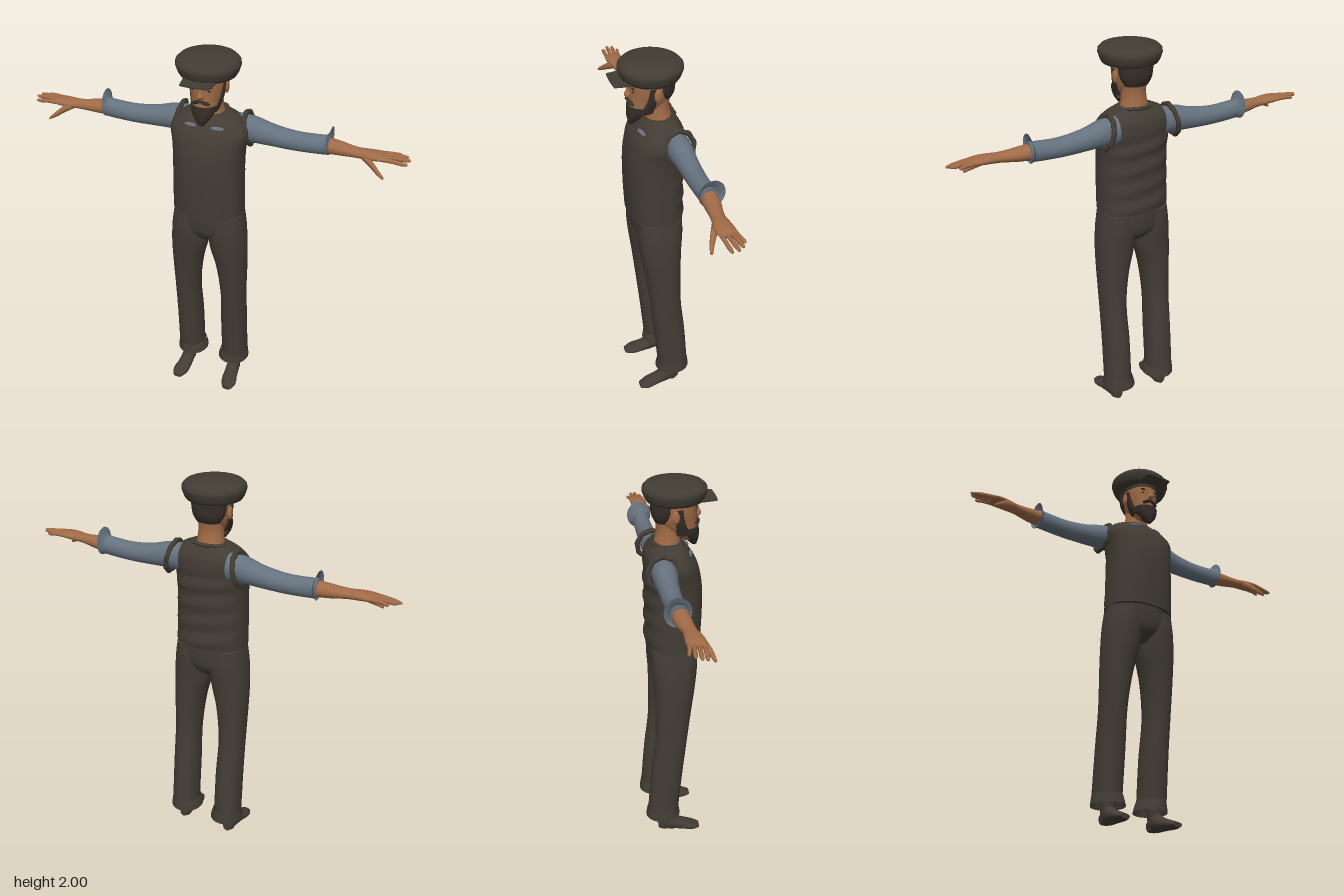
import * as THREE from 'three';

const mat = (name, color) => Object.assign(new THREE.MeshStandardMaterial({ color }), { name });

// Smooth loft along an axis through elliptical sections [t, uCentre, vCentre, uRadius, vRadius].
// (u, v) is (z, x) for a y loft, (y, z) for an x loft and (x, y) for a z loft.
function loft(axis, sections, { sides = 24, steps = 4, power = 1, caps = true } = {}) {
  const spline = new THREE.CubicInterpolant(
    sections.map(s => s[0]), sections.flatMap(s => s.slice(1)), 4);
  const place = { x: (t, u, v) => [t, u, v], y: (t, u, v) => [v, t, u], z: (t, u, v) => [u, v, t] }[axis];
  const bend = a => Math.sign(a) * Math.abs(a) ** power;
  const pos = [], index = [];
  const ring = (t) => {
    const [cu, cv, ru, rv] = spline.evaluate(t);
    for (let j = 0; j < sides; j++) {
      const a = j / sides * Math.PI * 2;
      pos.push(...place(t, cu + ru * bend(Math.cos(a)), cv + rv * bend(Math.sin(a))));
    }
    return [cu, cv];
  };
  const rows = (sections.length - 1) * steps;
  for (let i = 0; i <= rows; i++) {
    const k = Math.min(Math.floor(i / steps), sections.length - 2);
    ring(THREE.MathUtils.lerp(sections[k][0], sections[k + 1][0], i / steps - k));
  }
  for (let i = 0; i < rows; i++) for (let j = 0; j < sides; j++) {
    const a = i * sides + j, b = i * sides + (j + 1) % sides;
    index.push(a, b, b + sides, a, b + sides, a + sides);
  }
  if (caps) [0, sections.length - 1].forEach(end => {
    const t = sections[end][0], base = pos.length / 3;
    const [cu, cv] = ring(t);
    pos.push(...place(t, cu, cv));
    for (let j = 0; j < sides; j++) {
      const a = base + j, b = base + (j + 1) % sides;
      index.push(...(end ? [a, b, base + sides] : [b, a, base + sides]));
    }
  });
  const g = new THREE.BufferGeometry();
  g.setAttribute('position', new THREE.Float32BufferAttribute(pos, 3));
  g.setIndex(index);
  g.computeVertexNormals();
  return g;
}

// Mirror a geometry across x = 0, keeping its faces outward
function mirrored(g) {
  const m = g.clone().scale(-1, 1, 1), ix = m.index;
  for (let i = 0; i < ix.count; i += 3) {
    const b = ix.getX(i + 1);
    ix.setX(i + 1, ix.getX(i + 2));
    ix.setX(i + 2, b);
  }
  return m;
}

const ball = (x, y, z, rx, ry, rz) =>
  new THREE.SphereGeometry(1, 16, 12).scale(rx, ry, rz).translate(x, y, z);

// Ruffled rim: a torus with a wavy edge, lying in the xy plane
function ruffle(rx, ry, tube, waves) {
  const g = new THREE.TorusGeometry(1, tube, 8, 56).scale(rx, ry, (rx + ry) / 2);
  const p = g.attributes.position;
  for (let i = 0; i < p.count; i++) {
    const a = Math.atan2(p.getY(i) / ry, p.getX(i) / rx), s = 1 + 0.03 * Math.sin(a * waves);
    p.setXY(i, p.getX(i) * s, p.getY(i) * s);
  }
  g.computeVertexNormals();
  return g;
}

export function createModel() {
  const model = new THREE.Group();
  model.name = 'standingMan';
  const cloth = mat('dark cloth', 0x423c34);
  const hair = mat('dark hair', 0x352e28);
  const skin = mat('skin', 0xa06b47);
  const shirt = mat('blue shirt', 0x66727f);
  shirt.side = THREE.DoubleSide;
  cloth.side = THREE.DoubleSide;

  const add = (name, g, m) => {
    const mesh = new THREE.Mesh(g, m);
    mesh.name = name;
    model.add(mesh);
  };
  const pair = (name, g, m) => {
    add('left' + name, g, m);
    add('right' + name, mirrored(g), m);
  };

  // Vest, with soft folds across the back
  const vest = loft('y', [
    [1.15, -0.025, 0, 0.14, 0.185], [1.3, -0.02, 0, 0.143, 0.183], [1.45, -0.02, 0, 0.144, 0.181],
    [1.53, -0.025, 0, 0.139, 0.187], [1.6, -0.035, 0, 0.128, 0.198], [1.64, -0.045, 0, 0.112, 0.182],
    [1.67, -0.048, 0, 0.092, 0.145], [1.695, -0.05, 0, 0.072, 0.085],
  ], { sides: 40, steps: 6, power: 0.85 });
  const vp = vest.attributes.position;
  for (let i = 0; i < vp.count; i++) {
    const back = THREE.MathUtils.clamp((-0.06 - vp.getZ(i)) / 0.08, 0, 1);
    const fade = THREE.MathUtils.clamp((1.6 - vp.getY(i)) / 0.1, 0, 1);
    vp.setZ(i, vp.getZ(i) + 0.005 * back * fade * Math.sin(vp.getY(i) * 62 + vp.getX(i) * 8));
  }
  vest.computeVertexNormals();
  add('vest', vest, cloth);
  add('vestCollar', ruffle(0.086, 0.074, 0.13, 13).rotateX(Math.PI / 2 + 0.12).translate(0, 1.688, -0.05), cloth);
  pair('Armhole', ruffle(0.072, 0.08, 0.17, 9).rotateY(Math.PI / 2).rotateZ(0.2).translate(0.182, 1.6, -0.095), cloth);
  pair('ShirtOpening', ball(0, 0, 0, 0.036, 0.01, 0.012).rotateY(0.3).rotateZ(-0.1).translate(0.07, 1.645, 0.055), shirt);

  // Trousers
  add('trouserHips', loft('y', [
    [0.97, -0.03, 0, 0.06, 0.1], [1.02, -0.03, 0, 0.108, 0.172],
    [1.1, -0.028, 0, 0.125, 0.186], [1.18, -0.026, 0, 0.128, 0.178],
  ], { sides: 32 }), cloth);
  pair('TrouserLeg', loft('y', [
    [0.15, -0.098, 0.131, 0.083, 0.071], [0.4, -0.075, 0.13, 0.085, 0.07], [0.6, -0.052, 0.132, 0.084, 0.068],
    [0.8, -0.038, 0.123, 0.095, 0.082], [0.93, -0.03, 0.107, 0.107, 0.098],
    [1.05, -0.028, 0.098, 0.117, 0.098], [1.14, -0.028, 0.093, 0.115, 0.09],
  ], { power: 0.92 }), cloth);
  pair('TrouserCuff', loft('y', [
    [0.108, -0.098, 0.124, 0.094, 0.086], [0.135, -0.098, 0.126, 0.09, 0.081], [0.163, -0.098, 0.129, 0.085, 0.074],
  ], { caps: false }), cloth);

  // Shoes
  pair('Ankle', loft('y', [
    [0.02, -0.09, 0.138, 0.032, 0.027], [0.08, -0.08, 0.138, 0.043, 0.033], [0.2, -0.085, 0.135, 0.05, 0.035],
  ]), cloth);
  pair('Shoe', loft('z', [
    [-0.125, 0.138, 0.045, 0.022, 0.028], [-0.07, 0.138, 0.055, 0.034, 0.05], [0, 0.141, 0.035, 0.039, 0.033],
    [0.06, 0.148, 0.022, 0.042, 0.022], [0.1, 0.15, 0.016, 0.025, 0.012],
  ]), cloth);

  // Sleeves with turned-up cuffs
  pair('Sleeve', loft('x', [
    [0.13, 1.6, -0.09, 0.072, 0.06], [0.21, 1.598, -0.09, 0.067, 0.06], [0.3, 1.584, -0.092, 0.056, 0.052],
    [0.42, 1.574, -0.092, 0.049, 0.047], [0.52, 1.577, -0.092, 0.049, 0.044], [0.59, 1.583, -0.092, 0.05, 0.043],
  ]), shirt);
  pair('SleeveCuff', loft('x', [
    [0.572, 1.582, -0.092, 0.048, 0.043], [0.582, 1.59, -0.096, 0.057, 0.052], [0.592, 1.602, -0.1, 0.072, 0.064],
  ], { caps: false }), shirt);

  // Forearms and hands
  pair('Forearm', loft('x', [
    [0.56, 1.582, -0.09, 0.042, 0.04], [0.64, 1.58, -0.085, 0.034, 0.04], [0.73, 1.58, -0.073, 0.024, 0.033],
    [0.79, 1.583, -0.068, 0.022, 0.042], [0.85, 1.585, -0.068, 0.016, 0.045], [0.875, 1.584, -0.068, 0.009, 0.04],
  ]), skin);
  // Finger tip x, tip y, tip z, root z
  [[0.935, 1.583, -0.115, -0.1], [0.968, 1.588, -0.094, -0.08], [0.982, 1.585, -0.07, -0.058],
    [0.972, 1.574, -0.044, -0.036]].forEach(([x, y, z, root], i) => pair('Finger' + (i + 1), loft('x', [
    [0.835, 1.585, root, 0.011, 0.011], [0.9, (y + 1.589) / 2, (root + z) / 2, 0.01, 0.0095],
    [x - 0.01, y, z, 0.008, 0.008], [x, y, z, 0.004, 0.004],
  ], { sides: 10, steps: 3 }), skin));
  pair('Thumb', loft('x', [
    [0.75, 1.58, -0.055, 0.016, 0.016], [0.8, 1.56, -0.03, 0.02, 0.017],
    [0.845, 1.53, -0.004, 0.014, 0.012], [0.875, 1.51, 0.008, 0.007, 0.007],
  ], { sides: 12 }), skin);

  // Neck and head
  add('neck', loft('y', [
    [1.64, -0.05, 0, 0.075, 0.085], [1.7, -0.045, 0, 0.064, 0.069], [1.76, -0.042, 0, 0.058, 0.062],
    [1.83, -0.05, 0, 0.06, 0.064],
  ]), skin);
  add('head', loft('y', [
    [1.7, 0.06, 0, 0.035, 0.035], [1.74, 0.035, 0, 0.065, 0.06], [1.79, 0, 0, 0.1, 0.075],
    [1.84, -0.007, 0, 0.107, 0.085], [1.88, -0.008, 0, 0.109, 0.088], [1.93, -0.01, 0, 0.105, 0.086],
  ], { sides: 32 }), skin);
  add('nose', loft('y', [
    [1.81, 0.098, 0, 0.012, 0.012], [1.825, 0.102, 0, 0.02, 0.017], [1.845, 0.1, 0, 0.014, 0.01],
    [1.872, 0.096, 0, 0.008, 0.008],
  ], { sides: 12 }), skin);
  pair('Ear', ball(0.09, 1.84, -0.018, 0.011, 0.033, 0.02), skin);
  pair('Eye', ball(0.036, 1.852, 0.088, 0.012, 0.005, 0.004), hair);
  pair('Brow', ball(0.037, 1.871, 0.09, 0.02, 0.005, 0.006), hair);

  // Hair and beard
  add('hair', loft('y', [
    [1.8, -0.07, 0, 0.038, 0.062], [1.83, -0.067, 0, 0.055, 0.08], [1.87, -0.064, 0, 0.061, 0.09],
    [1.93, -0.065, 0, 0.058, 0.09],
  ]), hair);
  add('beard', loft('y', [
    [1.668, 0.088, 0, 0.012, 0.012], [1.7, 0.075, 0, 0.034, 0.038], [1.735, 0.056, 0, 0.055, 0.059],
    [1.768, 0.045, 0, 0.064, 0.068],
  ]), hair);
  pair('Sideburn', loft('y', [
    [1.735, 0.03, 0.052, 0.036, 0.014], [1.8, 0.008, 0.073, 0.025, 0.012], [1.875, 0.004, 0.085, 0.015, 0.008],
  ], { sides: 14 }), hair);
  pair('Moustache', ball(0, 0, 0, 0.026, 0.009, 0.013).rotateZ(-0.35).rotateY(0.35).translate(0.022, 1.792, 0.098), hair);

  // Flat cap
  const profile = [[0, 1.907], [0.138, 1.905], [0.147, 1.92], [0.157, 1.95], [0.155, 1.967], [0.14, 1.982],
    [0.1, 1.994], [0.05, 1.999], [0, 2]].map(([x, y]) => new THREE.Vector2(x, y));
  add('capCrown', new THREE.LatheGeometry(profile, 40).translate(0, 0, -0.008), cloth);
  add('capBand', loft('y', [[1.89, -0.008, 0, 0.112, 0.093], [1.92, -0.008, 0, 0.115, 0.096]], { sides: 32 }), cloth);
  const visor = new THREE.Shape();
  visor.moveTo(-0.085, 0.08);
  visor.lineTo(0.085, 0.08);
  visor.lineTo(0.07, 0.186);
  visor.quadraticCurveTo(0, 0.194, -0.07, 0.186);
  add('capVisor', new THREE.ExtrudeGeometry(visor, { depth: 0.008, bevelEnabled: false })
    .rotateX(Math.PI / 2).translate(0, 1.913, 0), cloth);

  return model;
}
